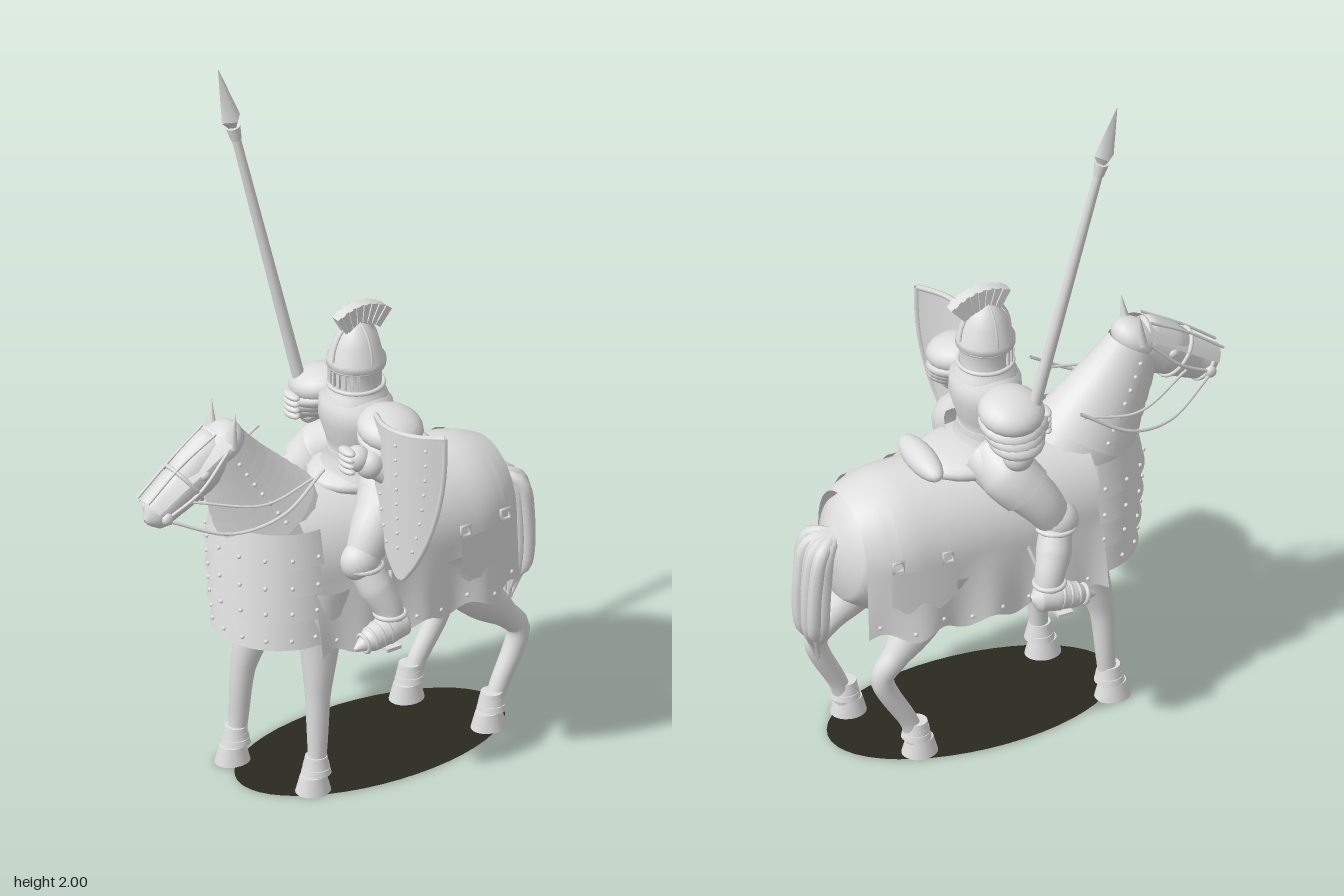
import * as THREE from 'three';
import { mergeVertices } from 'three/addons/utils/BufferGeometryUtils.js';

const steel = new THREE.MeshStandardMaterial({ color: 0xdedede, side: THREE.DoubleSide });
steel.name = 'pale grey';
const ground = new THREE.MeshStandardMaterial({ color: 0x2a2920, side: THREE.DoubleSide });
ground.name = 'dark olive';

const V = (p) => new THREE.Vector3(...p);
const lerp = THREE.MathUtils.lerp;

function add(parent, name, geo, pos = [0, 0, 0], rot = [0, 0, 0], scale = [1, 1, 1]) {
  const m = new THREE.Mesh(geo, steel);
  m.name = name;
  m.position.set(...pos);
  m.rotation.set(...rot);
  m.scale.set(...scale);
  parent.add(m);
  return m;
}
const ball = (parent, name, pos, scale, rot) => add(parent, name, new THREE.SphereGeometry(1, 20, 14), pos, rot, scale);
const cyl = (a, b, h, n = 20, open = false) => new THREE.CylinderGeometry(a, b, h, n, 1, open);
const rope = (pts, r, seg = 24) => new THREE.TubeGeometry(new THREE.CatmullRomCurve3(pts.map(V)), seg, r, 6);

// Round limb along a path with a radius at each point, flattened sideways by fx
function taper(pts, radii, fx = 1, seg = 28, rad = 18) {
  const curve = new THREE.CatmullRomCurve3(pts.map(V));
  const g = new THREE.TubeGeometry(curve, seg, 1, rad);
  const p = g.attributes.position, v = new THREE.Vector3();
  for (let i = 0; i <= seg; i++) {
    const c = curve.getPointAt(i / seg);
    const t = curve.getUtoTmapping(i / seg) * (pts.length - 1);
    const k = Math.min(Math.floor(t), pts.length - 2);
    const r = lerp(radii[k], radii[k + 1], t - k);
    for (let j = 0; j <= rad; j++) {
      const n = i * (rad + 1) + j;
      v.fromBufferAttribute(p, n).sub(c).multiplyScalar(r);
      v.x *= fx;
      v.add(c);
      p.setXYZ(n, v.x, v.y, v.z);
    }
  }
  g.deleteAttribute('uv');
  g.deleteAttribute('normal');
  const w = mergeVertices(g, 1e-5);
  w.computeVertexNormals();
  return w;
}

// Sheet whose vertices are placed by f(a, b), both 0..1
function sheet(f, na, nb) {
  const g = new THREE.PlaneGeometry(1, 1, na, nb), p = g.attributes.position;
  for (let i = 0; i < p.count; i++) p.setXYZ(i, ...f(p.getX(i) + 0.5, p.getY(i) + 0.5));
  g.computeVertexNormals();
  return g;
}

// Cross-section of the horse cloth at length z; a runs -1..1 from hem to hem
function clothPoint(a, z, lift = 0) {
  const back = Math.max(0, (-0.34 - z) / 0.14), front = Math.max(0, z);
  const w = 0.192 - 0.04 * back * back - 0.08 * front + lift, h = 0.203 - 0.035 * back * back + lift;
  const side = Math.sign(a), m = Math.abs(a);
  if (m <= 0.6) {
    const t = (a / 0.6) * Math.PI / 2;
    return [w * Math.sin(t), 0.63 + h * Math.cos(t), z];
  }
  const k = (m - 0.6) / 0.4, hem = 0.43 + 0.013 * Math.cos(z * 42);
  return [side * (w + k * (0.012 + 0.012 * Math.sin(z * 32) + 0.16 * front)), lerp(0.63, hem, k), z];
}

function buildHorse(root) {
  const horse = new THREE.Group();
  horse.name = 'horse';
  root.add(horse);
  add(horse, 'body', taper(
    [[0, .64, -.54], [0, .635, -.5], [0, .62, -.4], [0, .62, -.2], [0, .62, .05], [0, .605, .2], [0, .61, .29], [0, .62, .345]],
    [.01, .138, .188, .195, .197, .195, .14, .01], .92, 40, 28));
  // Neck with overlapping plates
  const neck = [[0, .74, .19], [0, .84, .255], [0, .95, .325], [0, 1.03, .37]];
  add(horse, 'neck', taper(neck, [.15, .122, .095, .075], .78));
  ball(horse, 'poll', [0, 1.045, .375], [.064, .05, .075], [.7, 0, 0]);
  const path = new THREE.CatmullRomCurve3(neck.map(V));
  for (let i = 0; i < 7; i++) {
    const t = 0.26 + i * 0.11, c = path.getPointAt(t), d = path.getTangentAt(t);
    const r = lerp(0.14, 0.084, i / 6);
    add(horse, 'neckPlate', cyl(r * .93, r * 1.1, .058, 28, true), c.toArray(), [Math.atan2(d.z, d.y), 0, 0], [.8, 1, 1]);
    for (const s of [-1, 1])
      ball(horse, 'neckRivet', [c.x + s * r * .82, c.y, c.z], [.006, .006, .006]);
  }
  // Head, face guard and bridle
  add(horse, 'head', taper(
    [[0, 1.06, .34], [0, 1.035, .385], [0, .985, .46], [0, .92, .545], [0, .895, .59], [0, .885, .615]],
    [.02, .074, .075, .052, .045, .008], .82));
  add(horse, 'faceGuard', sheet((a, b) => {
    const x = (a - .5) * 2, w = lerp(.074, .046, b), drop = .035 * x * x;
    return [x * w, lerp(1.1, .948, b) - drop * .8, lerp(.405, .622, b) - drop * .6];
  }, 6, 6));
  for (const x of [-.024, .024])
    add(horse, 'faceGuardRib', rope([[x * 1.3, 1.098, .408], [x, 1.03, .52], [x, .95, .624]], .004));
  for (const [y, z, r] of [[.905, .575, .05], [.965, .49, .071]])
    add(horse, 'bridleBand', new THREE.TorusGeometry(r, .006, 8, 24), [0, y, z], [.65, 0, 0], [.85, 1, 1]);
  // Legs: path from shoulder to hoof
  const legs = [
    ['frontLeg', [[.12, .6, .13], [.13, .45, .14], [.142, .28, .155], [.15, .1, .163], [.15, .03, .168]], [.085, .057, .034, .025, .03]],
    ['frontLeg', [[-.085, .6, .17], [-.085, .43, .19], [-.1, .28, .225], [-.11, .1, .235], [-.11, .03, .245]], [.085, .057, .034, .025, .03]],
    ['hindLeg', [[.09, .58, -.31], [.125, .43, -.36], [.127, .32, -.465], [.127, .265, -.508], [.13, .1, -.437], [.134, .03, -.415]], [.13, .072, .036, .032, .025, .03]],
    ['hindLeg', [[-.08, .58, -.27], [-.09, .42, -.31], [-.112, .32, -.39], [-.113, .265, -.43], [-.118, .1, -.35], [-.12, .03, -.33]], [.13, .072, .036, .032, .025, .03]],
  ];
  for (const [name, pts, radii] of legs) {
    add(horse, name, taper(pts, radii));
    const [x, , z] = pts[pts.length - 1];
    add(horse, 'hoof', cyl(.034, .046, .048), [x, .025, z + .008], [0, 0, 0], [.95, 1, 1.1]);
    for (const [y, r] of [[.062, .041], [.08, .037], [.096, .033]])
      add(horse, 'fetlockBand', cyl(r * .9, r, .016), [x, y, z - .002]);
  }
  // Tail strands
  for (let i = 0; i < 14; i++) {
    const q = .055 * Math.sqrt(i / 13), x = .01 + Math.cos(i * 2.4) * q * 1.1, z = Math.sin(i * 2.4) * q * .65;
    add(horse, 'tail', taper(
      [[.005, .68, -.5], [.9 * x, .66, -.555 + z * .7], [x, .55, -.573 + z], [x * .8 + .004, .4, -.572 + z * .9], [x * .3 + .018, .28 + .006 * i, -.555 + z * .4]],
      [.012, .02, .02, .018, .003], 1, 20, 8));
  }
}

function buildTack(root) {
  const tack = new THREE.Group();
  tack.name = 'horseArmour';
  root.add(tack);
  add(tack, 'horseCloth', sheet((a, b) => clothPoint(a * 2 - 1, lerp(-.49, .19, b)), 48, 48));
  // Curved chest bands with rivets
  [[.80, 1], [.715, .985], [.635, .96], [.55, .92]].forEach(([top, r], i) => {
    const g = new THREE.CylinderGeometry(r * .95, r * 1.05, .098, 36, 1, true, -1.6, 3.2);
    add(tack, 'chestBand', g, [0, top - .045, .18], [0, 0, 0], [.19, 1, .19]);
    for (let k = -4; k <= 4; k++) {
      const t = k * .38;
      ball(tack, 'rivet', [.196 * r * Math.sin(t), top - .068, .18 + .196 * r * Math.cos(t)], [.006, .006, .006]);
    }
  });
  for (const s of [-1, 1]) {
    // Straps, buckles and side panels on the rump
    for (const z of [-.42, -.28]) {
      add(tack, 'rumpStrap', sheet((a, b) => clothPoint(s * lerp(.22, .66, a), z + (b - .5) * .03, .007), 20, 1));
      add(tack, 'buckle', new THREE.TorusGeometry(.02, .005, 6, 4), [s * (z < -.4 ? .192 : .207), .665, z], [Math.PI / 4, Math.PI / 2, 0]);
    }
    add(tack, 'sidePanel', sheet((a, b) => [
      s * (.219 - .022 * Math.pow(1 - a, 2)), lerp(.53 + .014 * Math.cos(a * 13), .65, b), lerp(-.44, -.26, a)], 16, 2));
    for (let i = 0; i < 8; i++)
      ball(tack, 'hemStud', clothPoint(s * .95, -.46 + i * .085), [.006, .006, .006]);
    // Ears, eyes, bit and reins
    add(tack, 'ear', new THREE.ConeGeometry(.024, .1, 12), [s * .05, 1.105, .365], [-.1, 0, -s * .1], [1, 1, .7]);
    ball(tack, 'eye', [s * .057, 1.0, .46], [.01, .013, .015]);
    ball(tack, 'bitBoss', [s * .046, .9, .575], [.012, .017, .017]);
    add(tack, 'cheekStrap', rope([[s * .045, .9, .575], [s * .063, .96, .48], [s * .061, 1.05, .39]], .005));
    add(tack, 'rein', rope([[s * .046, .895, .575], [s * .12, .84, .42], [s * .16, .87, .28], [s * .15, .96, .14]], .005));
    add(tack, 'innerRein', rope([[s * .05, .93, .5], [s * .13, .9, .32], [s * .13, .93, .16]], .004));
  }
  // Saddle
  ball(tack, 'saddleSeat', [0, .83, -.1], [.13, .045, .17]);
  ball(tack, 'saddleCantle', [0, .85, -.26], [.112, .035, .04], [-.3, 0, 0]);
}

function buildRider(root) {
  const rider = new THREE.Group();
  rider.name = 'rider';
  root.add(rider);
  const cx = .013, cz = -.062;
  const lathe = (pts) => new THREE.LatheGeometry(pts.map(([r, y]) => new THREE.Vector2(r, y)), 32);
  add(rider, 'breastplate', lathe([[.11, .83], [.1, .86], [.078, .9], [.088, .94], [.108, 1.0], [.105, 1.05], [.07, 1.085], [.01, 1.09]]), [cx, 0, cz], [0, 0, 0], [1.05, 1, .88]);
  add(rider, 'belt', cyl(.082, .084, .02, 32), [cx, .9, cz], [0, 0, 0], [1.05, 1, .9]);
  add(rider, 'helmet', lathe([[.086, 1.065], [.078, 1.085], [.068, 1.1], [.07, 1.155], [.08, 1.16], [.08, 1.178], [.074, 1.18], [.063, 1.225], [.04, 1.263], [.018, 1.283], [.001, 1.287]]), [cx, 0, cz]);
  for (const y of [1.075, 1.1, 1.158])
    add(rider, 'helmetRim', new THREE.TorusGeometry(.074, .006, 8, 32), [cx, y, cz], [Math.PI / 2, 0, 0]);
  for (const r of [0, Math.PI / 2])
    add(rider, 'helmetRidge', new THREE.TorusGeometry(1, .05, 6, 24, Math.PI), [cx, 1.178, cz], [0, r, 0], [.074, .107, .074]);
  for (let i = -4; i <= 4; i++)
    add(rider, 'visorBar', new THREE.BoxGeometry(.008, .042, .012), [cx + Math.sin(i * .26) * .07, 1.13, cz + Math.cos(i * .26) * .07], [0, i * .26, 0]);
  // Crest: a fan of ribs
  for (let i = 0; i < 15; i++) {
    const a = lerp(.52, -.72, i / 14), r = .113;
    add(rider, 'crestRib', new THREE.BoxGeometry(i % 2 ? .036 : .028, .058, .014),
      [cx, 1.19 + r * Math.cos(a), cz - .008 + r * Math.sin(a)], [a, 0, 0]);
  }
  for (const s of [-1, 1]) {
    const left = s > 0, sx = cx + s * .155;
    // Layered shoulder guard
    ball(rider, 'shoulderGuard', [sx, 1.03, cz], [.09, .052, .09], [0, 0, -s * .2]);
    for (let i = 0; i < 3; i++)
      ball(rider, 'shoulderPlate', [sx + s * .014 * i, .997 - i * .02, cz], [.09 - i * .006, .034, .09 - i * .006], [0, 0, -s * .25]);
    // Arm
    const elbow = left ? [.225, .915, -.05] : [-.2, .92, -.07], hand = left ? [.175, .975, .05] : [-.163, .985, 0];
    const wrist = hand.map((h, i) => lerp(h, elbow[i], .3));
    add(rider, 'arm', taper([[sx, 1.02, cz], [lerp(sx, elbow[0], .6), .96, cz], elbow, wrist, hand], [.045, .045, .036, .034, .03]));
    ball(rider, 'elbowGuard', elbow, [.04, .04, .042]);
    ball(rider, 'gauntletCuff', wrist, [.043, .042, .04]);
    ball(rider, 'hand', hand, [.036, .036, .036]);
    for (let i = 0; i < 4; i++)
      ball(rider, 'finger', [hand[0] - s * .008, hand[1] + .026 - i * .018, hand[2] + .028], [.032, .011, .017]);
    // Leg
    add(rider, 'thigh', taper([[s * .06, .86, -.12], [s * .135, .82, -.07], [s * .175, .745, 0], [s * .185, .675, .045]], [.06, .073, .062, .05]));
    add(rider, 'tasset', taper([[s * .07, .88, -.09], [s * .14, .83, -.07], [s * .172, .78, -.03]], [.06, .08, .073]));
    ball(rider, 'kneeGuard', [s * .19, .674, .052], [.053, .055, .057]);
    add(rider, 'kneeRim', new THREE.TorusGeometry(.053, .007, 8, 24), [s * .19, .66, .045], [Math.PI / 2, 0, s * .2]);
    add(rider, 'shin', taper([[s * .193, .66, .042], [s * .222, .6, .024], [s * .245, .54, 0], [s * .255, .48, -.01]], [.045, .048, .04, .034]));
    add(rider, 'ankleBand', new THREE.TorusGeometry(.04, .007, 8, 20), [s * .25, .525, -.003], [Math.PI / 2, 0, 0]);
    add(rider, 'foot', taper([[s * .255, .49, -.06], [s * .256, .488, -.04], [s * .258, .485, .01], [s * .262, .472, .07], [s * .266, .46, .125]], [.006, .036, .042, .034, .004]));
    for (let i = 0; i < 4; i++)
      add(rider, 'footPlate', new THREE.TorusGeometry(.037 - i * .004, .006, 8, 20), [s * (.258 + i * .002), .484 - i * .005, .02 + i * .024], [.2, 0, 0]);
    add(rider, 'stirrup', new THREE.BoxGeometry(.085, .01, .045), [s * .26, .446, .02]);
    add(rider, 'stirrupStrap', rope([[s * .2, .62, -.04], [s * .225, .55, -.02], [s * .22, .446, .02]], .006));
  }
}

function buildArms(root) {
  // Curved shield on the left arm, facing forward
  const shield = new THREE.Group();
  shield.name = 'shield';
  shield.position.set(.277, 0, -.048);
  shield.rotation.y = .19;
  root.add(shield);
  const half = (b) => .127 * Math.pow(Math.max(0, 1 - Math.pow(1 - b, 2.3)), .75);
  const face = (x, b, z = 0) => [x * half(b) + .012 * (1 - b), lerp(.65, 1.085, b) + .01 * x * b, .048 * (1 - Math.pow(x * half(b) / .127, 2)) + z];
  add(shield, 'shieldFront', sheet((a, b) => face(a * 2 - 1, b, .008), 16, 24));
  add(shield, 'shieldBack', sheet((a, b) => face(1 - a * 2, b, -.004), 16, 24));
  const rim = [];
  for (let i = 0; i <= 12; i++) rim.push(face(-1, 1 - i / 12));
  for (let i = 1; i <= 12; i++) rim.push(face(1, i / 12));
  add(shield, 'shieldRim', rope(rim, .008, 80));
  add(shield, 'shieldTopRim', rope([-1, -.5, 0, .5, 1].map((x) => face(x, 1)), .008));
  for (const x of [-.7, 0, .7])
    for (let i = 0; i < 8; i++) ball(shield, 'shieldRivet', face(x, .22 + i * .1, .009), [.005, .005, .004]);

  // Spear leaning outward from the right hand
  const tip = V([-.262, 2, .191]), butt = V([-.156, .93, -.03]);
  const spear = new THREE.Group();
  spear.name = 'spear';
  spear.position.copy(butt);
  const dir = tip.clone().sub(butt), len = dir.length();
  spear.quaternion.setFromUnitVectors(new THREE.Vector3(0, 1, 0), dir.normalize());
  root.add(spear);
  add(spear, 'spearShaft', cyl(.012, .018, len - .18, 16), [0, (len - .18) / 2, 0]);
  add(spear, 'spearSocket', cyl(.02, .015, .04, 16), [0, len - .2, 0]);
  add(spear, 'spearBladeBase', cyl(.03, .014, .025, 4), [0, len - .168, 0]);
  add(spear, 'spearBlade', cyl(.001, .03, .156, 4), [0, len - .078, 0]);
}

export function createModel() {
  const model = new THREE.Group();
  model.name = 'mountedKnight';
  const root = new THREE.Group();
  root.name = 'figure';
  root.rotation.y = -Math.PI / 4;
  model.add(root);
  buildHorse(root);
  buildTack(root);
  buildRider(root);
  buildArms(root);
  // Oval ground plate
  const base = add(root, 'groundPlate', new THREE.CircleGeometry(1, 48), [.022, .002, -.1], [-Math.PI / 2, 0, 0], [.217, .413, 1]);
  base.material = ground;
  return model;
}
